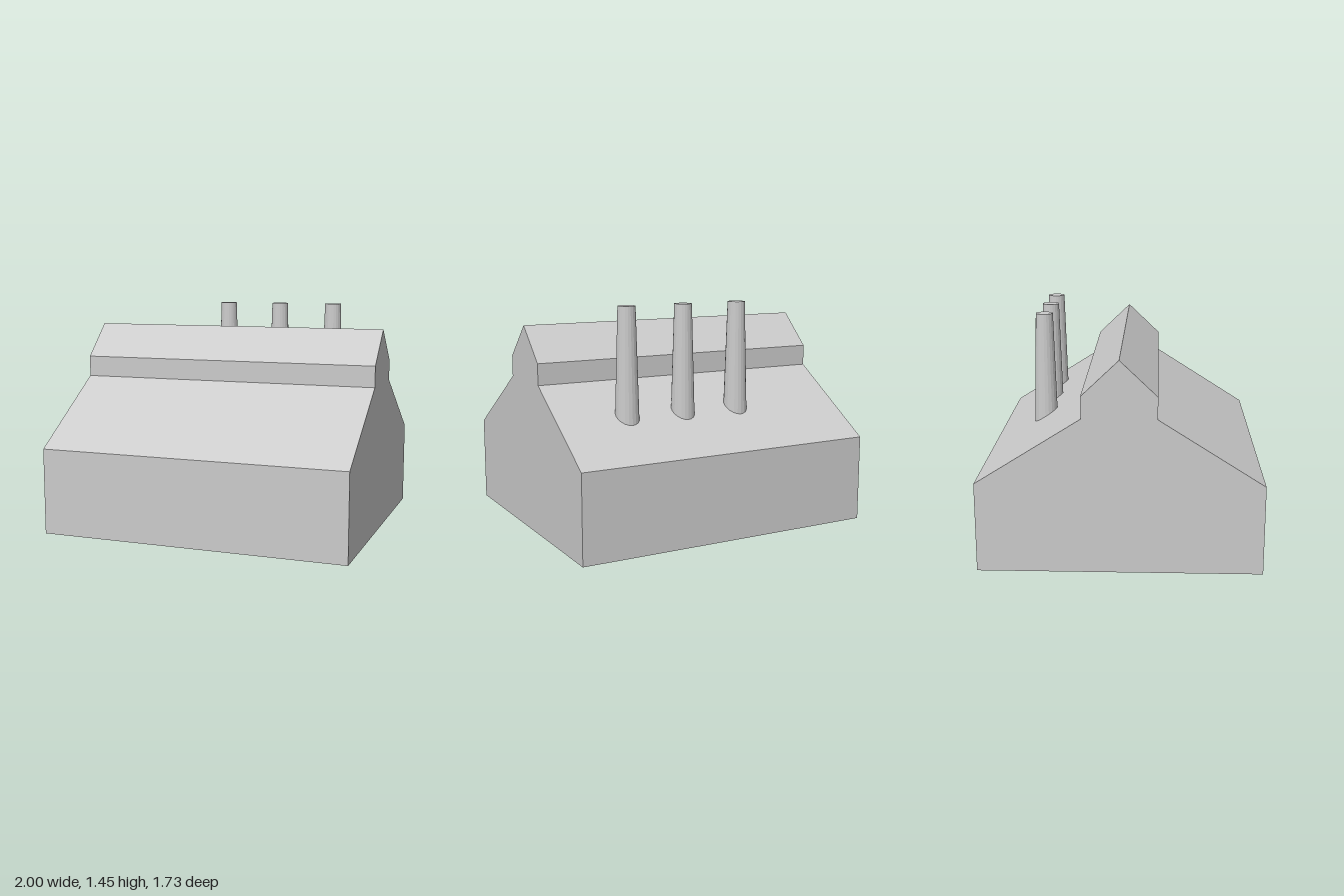
import * as THREE from 'three';

export function createModel() {
  const model = new THREE.Group();
  const material = new THREE.MeshStandardMaterial({ color: 0xcccccc, flatShading: true });

  // Hall: gable profile with a raised ridge monitor, extruded along x
  const half = [[0.865, 0], [0.865, 0.555], [0.225, 0.96], [0.225, 1.095]];
  const profile = [
    ...half,
    [0, 1.31],
    ...half.map(([z, y]) => [-z, y]).reverse(),
  ];
  const shape = new THREE.Shape(profile.map(([z, y]) => new THREE.Vector2(z, y)));
  const hallGeometry = new THREE.ExtrudeGeometry(shape, { depth: 2, bevelEnabled: false });
  hallGeometry.translate(0, 0, -1).rotateY(Math.PI / 2);
  const hall = new THREE.Mesh(hallGeometry, material);
  hall.name = 'factoryHall';
  model.add(hall);

  // Tapered chimneys rising from the rear roof slope
  const base = 0.7, top = 1.45;
  const chimneyGeometry = new THREE.CylinderGeometry(0.055, 0.077, top - base, 20);
  [-0.245, 0.145, 0.535].forEach((x, i) => {
    const chimney = new THREE.Mesh(chimneyGeometry, material);
    chimney.name = `chimney${i + 1}`;
    chimney.position.set(x, (base + top) / 2, -0.51);
    model.add(chimney);
  });

  return model;
}
